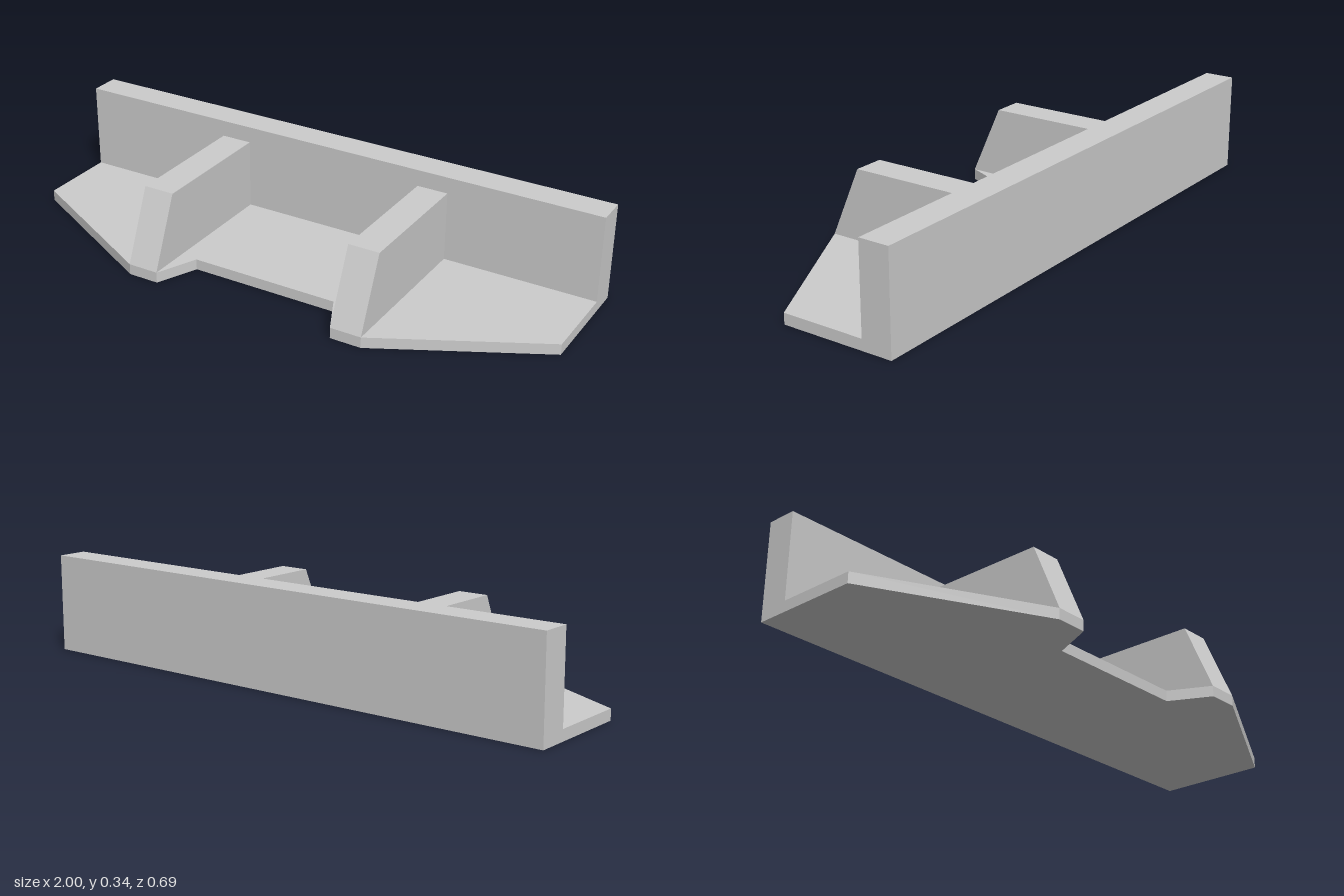
import * as THREE from 'three';

const BACK = -0.343, WALL_FRONT = -0.237, FRONT = 0.343, PLATE = 0.038;

function polygon(points) {
  return new THREE.Shape(points.map(([x, y]) => new THREE.Vector2(x, y)));
}

export function createModel() {
  const group = new THREE.Group();
  const material = new THREE.MeshStandardMaterial({ color: 0xcccccc, flatShading: true });
  const add = (name, geometry) => {
    const mesh = new THREE.Mesh(geometry, material);
    mesh.name = name;
    group.add(mesh);
    return mesh;
  };

  // Upright wall along the back
  const wall = add('backWall', new THREE.BoxGeometry(2, 0.343, WALL_FRONT - BACK));
  wall.position.set(0, 0.343 / 2, (BACK + WALL_FRONT) / 2);

  // Floor plate with tapered sides and a notch between the ribs, outlined in x and z
  const outline = [
    [-1, WALL_FRONT], [-1, 0.045], [-0.43, FRONT], [-0.32, FRONT], [-0.257, 0.2],
    [0.276, 0.2], [0.345, FRONT], [0.455, FRONT], [1, 0.058], [1, WALL_FRONT],
  ].map(([x, z]) => [x, -z]);
  add('basePlate', new THREE.ExtrudeGeometry(polygon(outline), { depth: PLATE, bevelEnabled: false })
    .rotateX(-Math.PI / 2));

  // Two ribs with sloping fronts, profiled in z and y
  const profile = polygon([[WALL_FRONT, PLATE], [FRONT, PLATE], [0.235, 0.285], [WALL_FRONT, 0.285]]);
  for (const [name, x0, x1] of [['rightRib', -0.43, -0.32], ['leftRib', 0.345, 0.455]]) {
    add(name, new THREE.ExtrudeGeometry(profile, { depth: x1 - x0, bevelEnabled: false })
      .rotateY(-Math.PI / 2).translate(x1, 0, 0));
  }
  return group;
}
